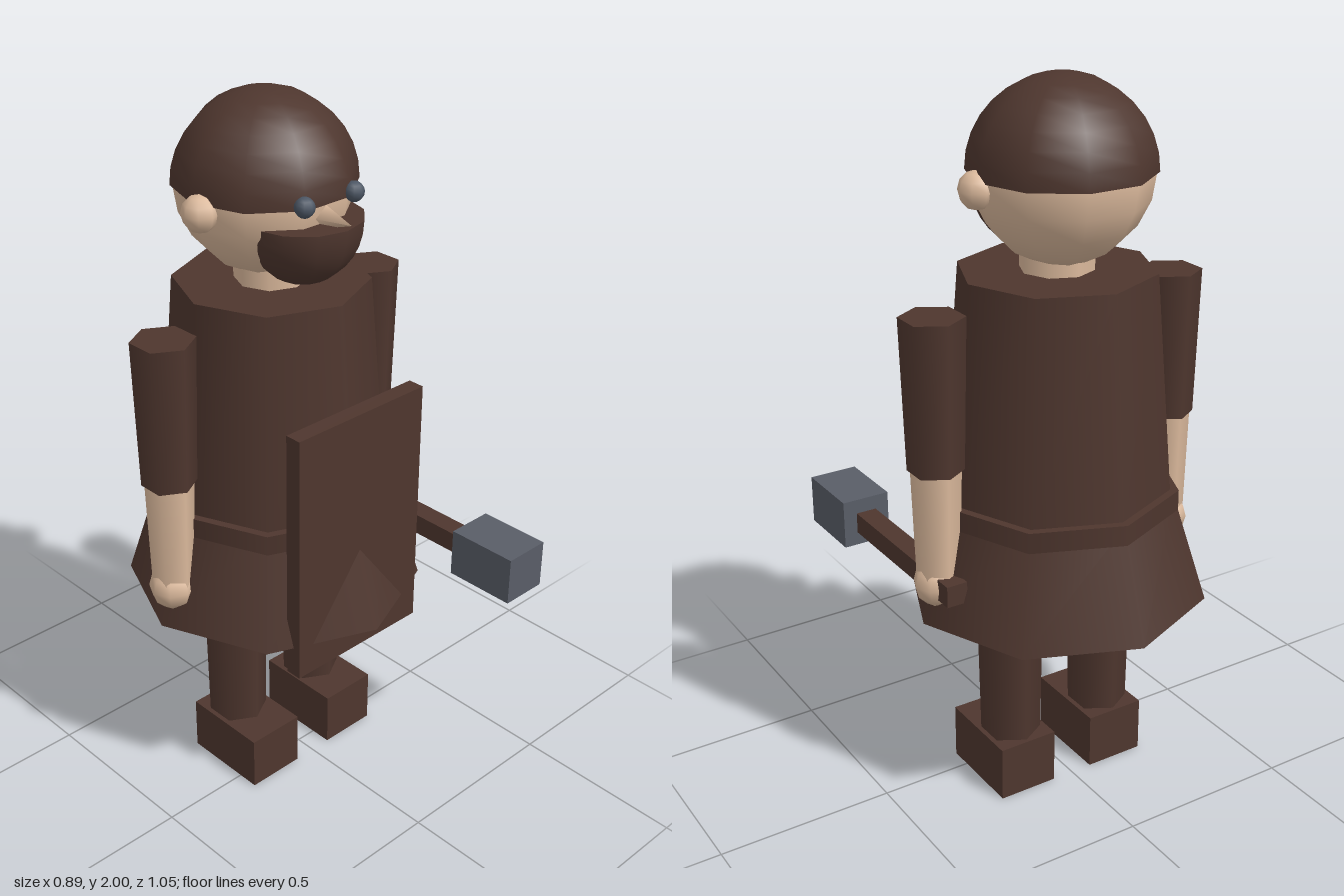
import * as THREE from 'three';

export function createModel() {
  const model = new THREE.Group();
  model.name = 'blacksmith';

  const material = (name, color) => {
    const m = new THREE.MeshStandardMaterial({ color });
    m.name = name;
    return m;
  };
  const cloth = material('dark brown', 0x4e362e);
  const skin = material('skin', 0xdbb99c);
  const metal = material('steel', 0x595d67);
  const eyeColor = material('eye slate', 0x4c5664);

  const bodyZ = -0.105;
  const headZ = -0.125;

  const add = (name, geometry, mat, x, y, z) => {
    const mesh = new THREE.Mesh(geometry, mat);
    mesh.name = name;
    mesh.position.set(x, y, z);
    model.add(mesh);
    return mesh;
  };
  // Upright tapered part between two heights
  const column = (name, mat, rTop, rBottom, y0, y1, sides, x = 0) =>
    add(name, new THREE.CylinderGeometry(rTop, rBottom, y1 - y0, sides), mat, x, (y0 + y1) / 2, bodyZ);
  // Box given by its limits on each axis
  const block = (name, mat, [x0, x1], [y0, y1], [z0, z1]) =>
    add(name, new THREE.BoxGeometry(x1 - x0, y1 - y0, z1 - z0), mat, (x0 + x1) / 2, (y0 + y1) / 2, (z0 + z1) / 2);

  // Tunic, belt and skirt
  column('torso', cloth, 0.265, 0.315, 0.88, 1.5, 8);
  column('belt', cloth, 0.337, 0.337, 0.82, 0.9, 8);
  column('skirt', cloth, 0.322, 0.42, 0.58, 0.89, 8);
  block('apron', cloth, [-0.226, 0.226], [0.49, 1.225], [0.195, 0.243]);

  // Head
  column('neck', skin, 0.1, 0.1, 1.48, 1.6, 8);
  add('head', new THREE.SphereGeometry(0.238, 10, 10), skin, 0, 1.758, headZ);
  add('hairCap', new THREE.SphereGeometry(0.245, 10, 8, 0, Math.PI * 2, 0, Math.PI / 2), cloth, 0, 1.757, headZ);
  const capRim = add('hairCapRim', new THREE.CircleGeometry(0.245, 10), cloth, 0, 1.757, headZ);
  capRim.rotation.x = Math.PI / 2;

  // Beard: lower half of an ellipsoid with a flat top
  const beard = add('beard',
    new THREE.SphereGeometry(0.16, 12, 8, 0, Math.PI * 2, Math.PI / 2, Math.PI / 2), cloth, 0, 1.705, 0.016);
  beard.scale.y = 1.125;
  const beardTop = add('beardTop', new THREE.CircleGeometry(0.16, 12), cloth, 0, 1.705, 0.016);
  beardTop.rotation.x = -Math.PI / 2;

  const nose = add('nose', new THREE.ConeGeometry(0.034, 0.1, 4), skin, 0, 1.722, 0.14);
  nose.rotation.x = Math.PI / 2;

  // Paired parts
  for (const [side, s] of [['left', 1], ['right', -1]]) {
    add(side + 'Eye', new THREE.SphereGeometry(0.027, 8, 8), eyeColor, s * 0.085, 1.77, 0.112);
    add(side + 'Ear', new THREE.SphereGeometry(0.05, 8, 6), skin, s * 0.235, 1.735, bodyZ);
    column(side + 'Sleeve', cloth, 0.086, 0.075, 1.02, 1.435, 6, s * 0.37);
    column(side + 'Forearm', skin, 0.067, 0.058, 0.69, 1.025, 6, s * 0.37);
    add(side + 'Hand', new THREE.SphereGeometry(0.065, 8, 6), skin, s * 0.375, 0.695, bodyZ);
    column(side + 'Leg', cloth, 0.092, 0.084, 0.14, 0.62, 6, s * 0.149);
    const inner = s * 0.062, outer = s * 0.236;
    block(side + 'Boot', cloth, [Math.min(inner, outer), Math.max(inner, outer)], [0, 0.16], [-0.2, 0.062]);
  }

  // Hammer held in the left hand
  block('hammerHandle', cloth, [0.34, 0.4], [0.668, 0.728], [-0.203, 0.33]);
  block('hammerHead', metal, [0.3, 0.44], [0.63, 0.77], [0.315, 0.525]);

  return model;
}
